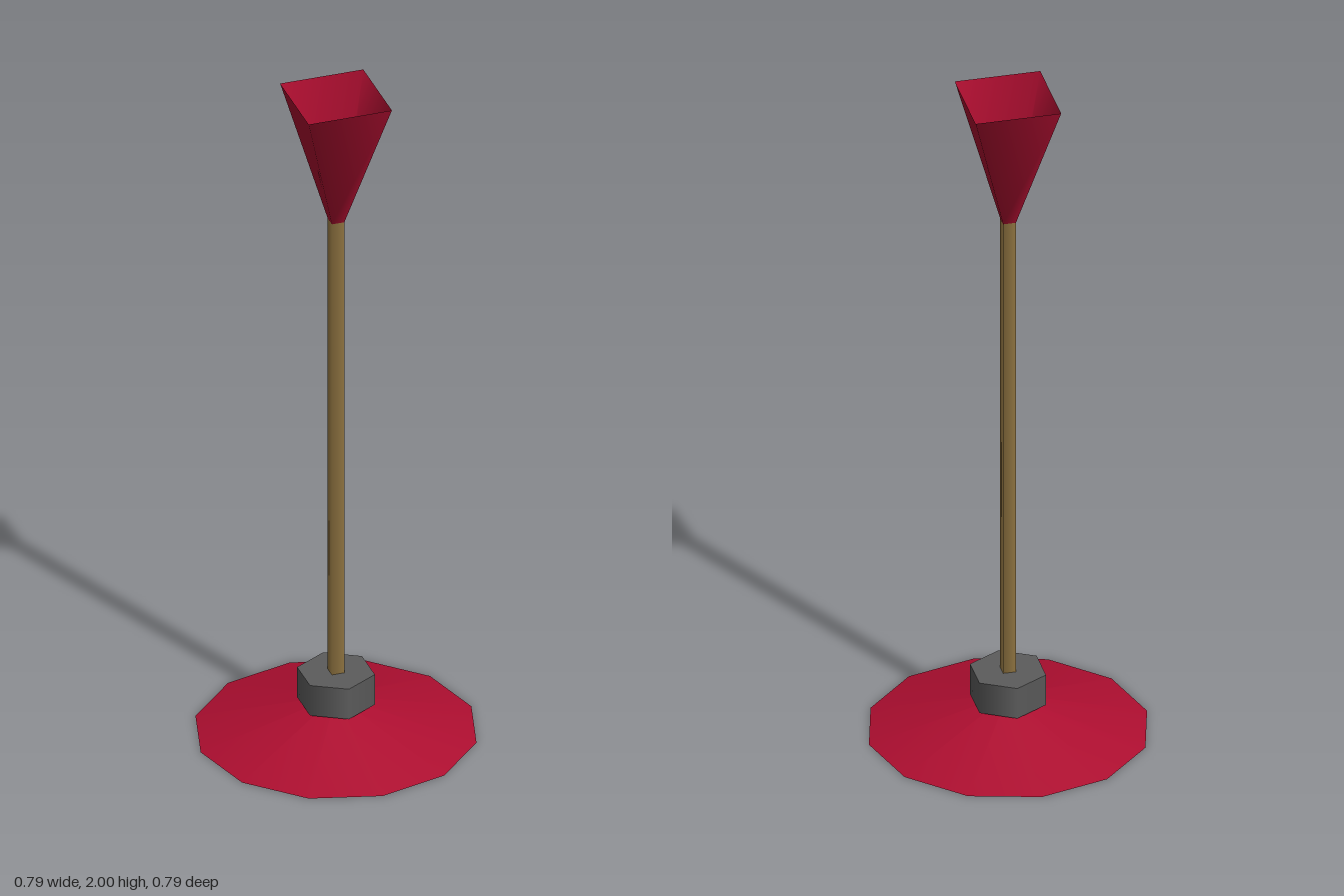
import * as THREE from 'three';

export function createModel() {
  const red = new THREE.MeshStandardMaterial({ color: 0xae0e30, side: THREE.DoubleSide });
  red.name = 'red';
  const wood = new THREE.MeshStandardMaterial({ color: 0x927642 });
  wood.name = 'tan wood';
  const grey = new THREE.MeshStandardMaterial({ color: 0x5c5c5c });
  grey.name = 'dark grey';

  const model = new THREE.Group();
  model.name = 'plunger';

  const add = (name, geometry, material, y) => {
    const mesh = new THREE.Mesh(geometry, material);
    mesh.name = name;
    mesh.position.y = y;
    model.add(mesh);
    return mesh;
  };

  // Shallow twelve-sided cup, open underneath
  add('baseCup', new THREE.ConeGeometry(0.394, 0.107, 12, 1, true), red, 0.0535);

  // Hexagonal collar with corners on the z axis
  add('collar', new THREE.CylinderGeometry(0.109, 0.109, 0.095, 6), grey, 0.1375);

  // Square pole with softened shading
  const poleRadius = 0.018 * Math.SQRT2;
  add('pole', new THREE.CylinderGeometry(poleRadius, poleRadius, 1.5, 4).rotateY(Math.PI / 4), wood, 0.86);

  // Square funnel, open at the top, with a small floor above the pole
  const funnelHeight = 0.39;
  add('funnel',
    new THREE.CylinderGeometry(0.121 * Math.SQRT2, poleRadius, funnelHeight, 4, 1, true).rotateY(Math.PI / 4),
    red, 2 - funnelHeight / 2);
  add('funnelFloor',
    new THREE.CircleGeometry(poleRadius * 1.05, 4).rotateX(-Math.PI / 2).rotateY(Math.PI / 4),
    red, 1.614);

  return model;
}
